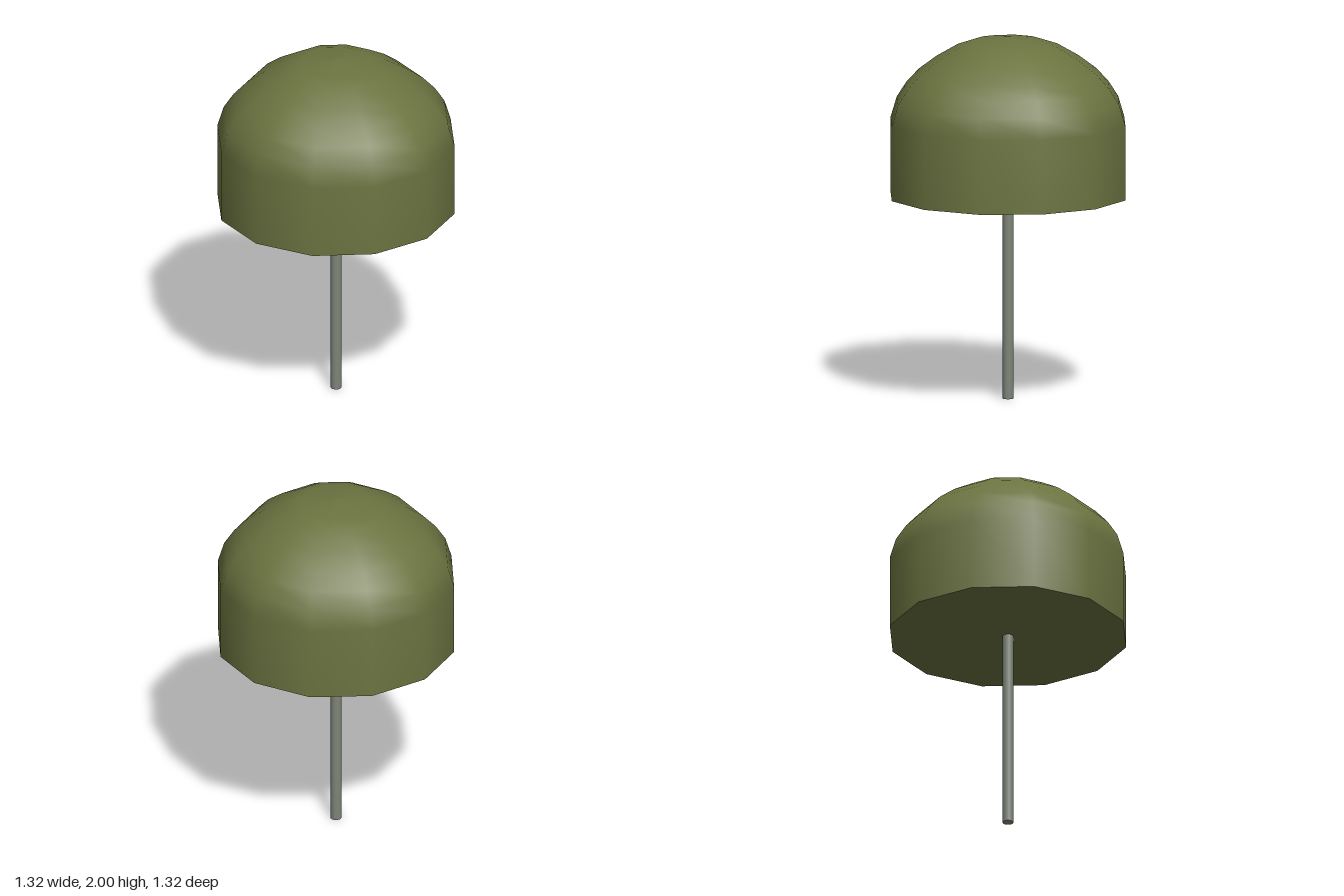
import * as THREE from 'three';

const SIDES = 12;
const BASE_Y = 1.12;
const RADIUS = 0.66;

export function createModel() {
  const model = new THREE.Group();
  model.name = 'domeOnPole';

  const olive = new THREE.MeshStandardMaterial({ color: 0x6b7340 });
  const grey = new THREE.MeshStandardMaterial({ color: 0x7d8578 });

  const add = (name, geometry, material, y = 0) => {
    const mesh = new THREE.Mesh(geometry, material);
    mesh.name = name;
    mesh.position.y = y;
    model.add(mesh);
    return mesh;
  };

  // Straight skirt rising into a rounded dome, twelve-sided with smooth normals
  const profile = [
    [RADIUS, BASE_Y], [RADIUS, 1.53], [0.625, 1.645], [0.57, 1.73], [0.5, 1.805],
    [0.4, 1.88], [0.28, 1.95], [0.19, 1.98], [0, 2],
  ].map(([r, y]) => new THREE.Vector2(r, y));
  add('dome', new THREE.LatheGeometry(profile, SIDES), olive);

  // Flat underside closing the dome
  const underside = new THREE.CircleGeometry(RADIUS, SIDES).rotateX(Math.PI / 2);
  add('domeUnderside', underside, olive, BASE_Y);

  // Thin round pole
  add('pole', new THREE.CylinderGeometry(0.03, 0.03, BASE_Y, SIDES), grey, BASE_Y / 2);

  return model;
}
